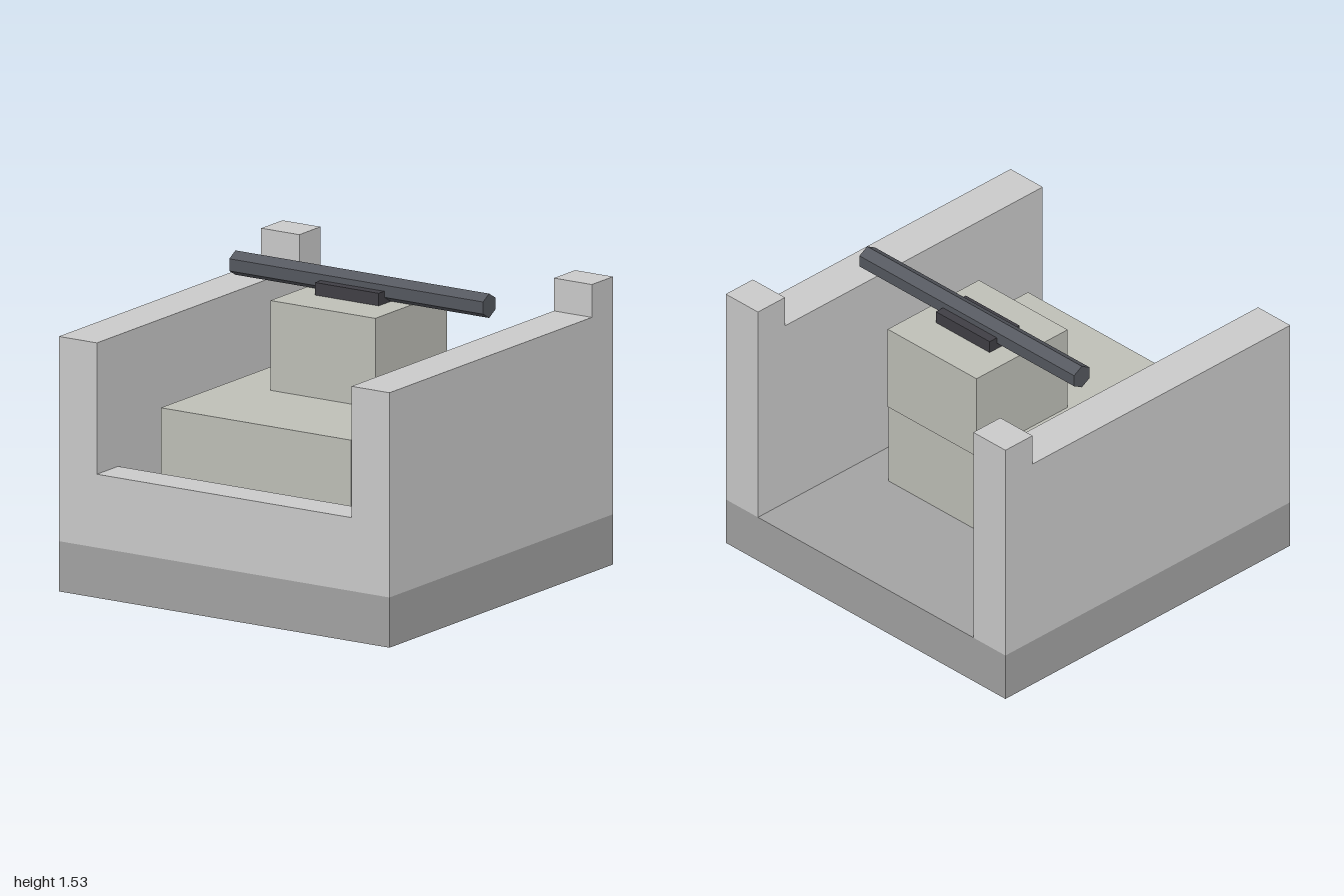
import * as THREE from 'three';

const mat = (color) => new THREE.MeshStandardMaterial({ color, flatShading: true });

export function createModel() {
  const model = new THREE.Group();
  const wallMat = mat(0xcccccc);
  const floorMat = mat(0xa3a3a3);
  const blockMat = mat(0xbfc0b8);
  const barMat = mat(0x55585f);
  const mountMat = mat(0x403f45);

  const add = (name, geometry, material) => {
    const mesh = new THREE.Mesh(geometry, material);
    mesh.name = name;
    model.add(mesh);
    return mesh;
  };

  // Box given by its limits on each axis
  const box = (name, material, [x0, x1], [y0, y1], [z0, z1]) => {
    const mesh = add(name, new THREE.BoxGeometry(x1 - x0, y1 - y0, z1 - z0), material);
    mesh.position.set((x0 + x1) / 2, (y0 + y1) / 2, (z0 + z1) / 2);
    return mesh;
  };

  // Base slab and low front wall
  box('floor', floorMat, [-1, 1], [0, 0.26], [-1, 1]);
  box('frontWall', wallMat, [-0.77, 0.77], [0.26, 0.64], [0.81, 1]);

  // Side walls: stepped profile (z, y) with a raised post at the back
  const profile = new THREE.Shape([
    [-1, 0.26], [1, 0.26], [1, 1.32], [-0.81, 1.32], [-0.81, 1.49], [-1, 1.49],
  ].map(([z, y]) => new THREE.Vector2(z, y)));
  const wall = new THREE.ExtrudeGeometry(profile, { depth: 0.23, bevelEnabled: false });
  wall.rotateY(-Math.PI / 2);
  add('leftWall', wall, wallMat).position.x = 1;
  add('rightWall', wall, wallMat).position.x = -0.77;

  // Stacked blocks
  box('lowerBlock', blockMat, [-0.6, 0.55], [0.26, 0.94], [-0.3, 0.68]);
  box('upperBlock', blockMat, [-0.34, 0.295], [0.94, 1.405], [-0.555, 0.085]);

  // Bar mount and hexagonal cross bar, one edge pointing up
  box('barMount', mountMat, [-0.215, 0.17], [1.405, 1.47], [-0.34, -0.13]);
  const bar = new THREE.CylinderGeometry(0.063, 0.063, 1.535, 6);
  bar.rotateY(Math.PI / 2).rotateZ(Math.PI / 2);
  add('crossBar', bar, barMat).position.set(0, 1.47, -0.235);

  return model;
}
